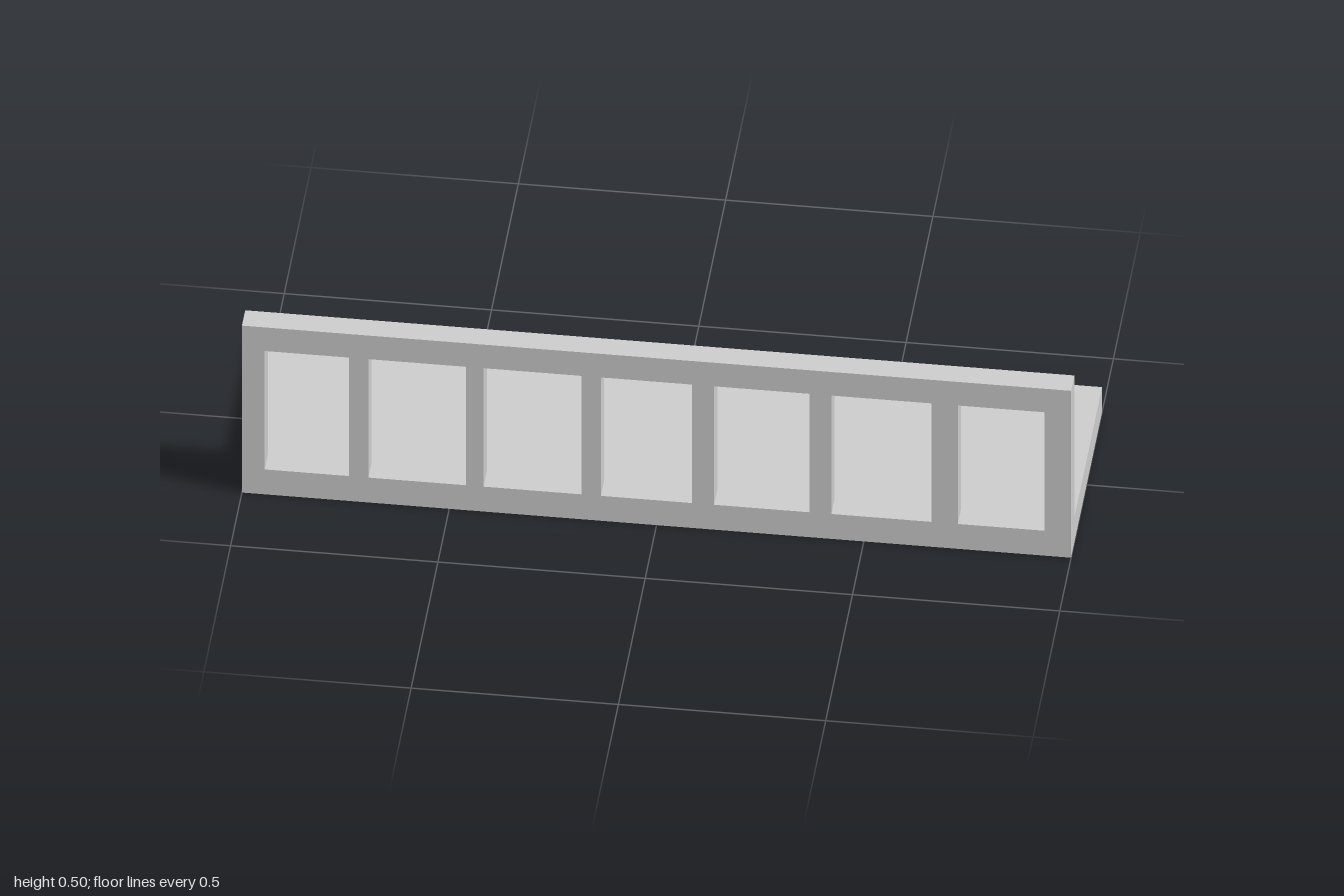
import * as THREE from 'three';

const HEIGHT = 0.503, SLAB = 0.075, RAIL_BOTTOM = 0.432;
const FRONT = 0.289, INNER = 0.228;

// left and right edges of each window in the balustrade
const OPENINGS = [
  [-0.945, -0.742], [-0.695, -0.46], [-0.417, -0.181], [-0.134, 0.086],
  [0.139, 0.369], [0.422, 0.663], [0.727, 0.936],
];

function rectangle(Type, x0, y0, x1, y1) {
  const path = new Type();
  path.moveTo(x0, y0);
  path.lineTo(x1, y0);
  path.lineTo(x1, y1);
  path.lineTo(x0, y1);
  path.closePath();
  return path;
}

export function createModel() {
  const group = new THREE.Group();
  group.name = 'balcony';
  const material = new THREE.MeshStandardMaterial({ color: 0xcccccc });

  // floor slab behind the balustrade
  const depth = INNER + FRONT;
  const floor = new THREE.Mesh(new THREE.BoxGeometry(2, SLAB, depth), material);
  floor.name = 'floorSlab';
  floor.position.set(0, SLAB / 2, INNER - depth / 2);
  group.add(floor);

  // balustrade: a wall cut by unevenly spaced windows, leaving posts and a rail
  const wall = rectangle(THREE.Shape, -1, 0, 1, HEIGHT);
  for (const [x0, x1] of OPENINGS) {
    wall.holes.push(rectangle(THREE.Path, x0, SLAB, x1, RAIL_BOTTOM));
  }
  const balustrade = new THREE.Mesh(
    new THREE.ExtrudeGeometry(wall, { depth: FRONT - INNER, bevelEnabled: false }), material);
  balustrade.name = 'balustrade';
  balustrade.position.z = INNER;
  group.add(balustrade);

  return group;
}
